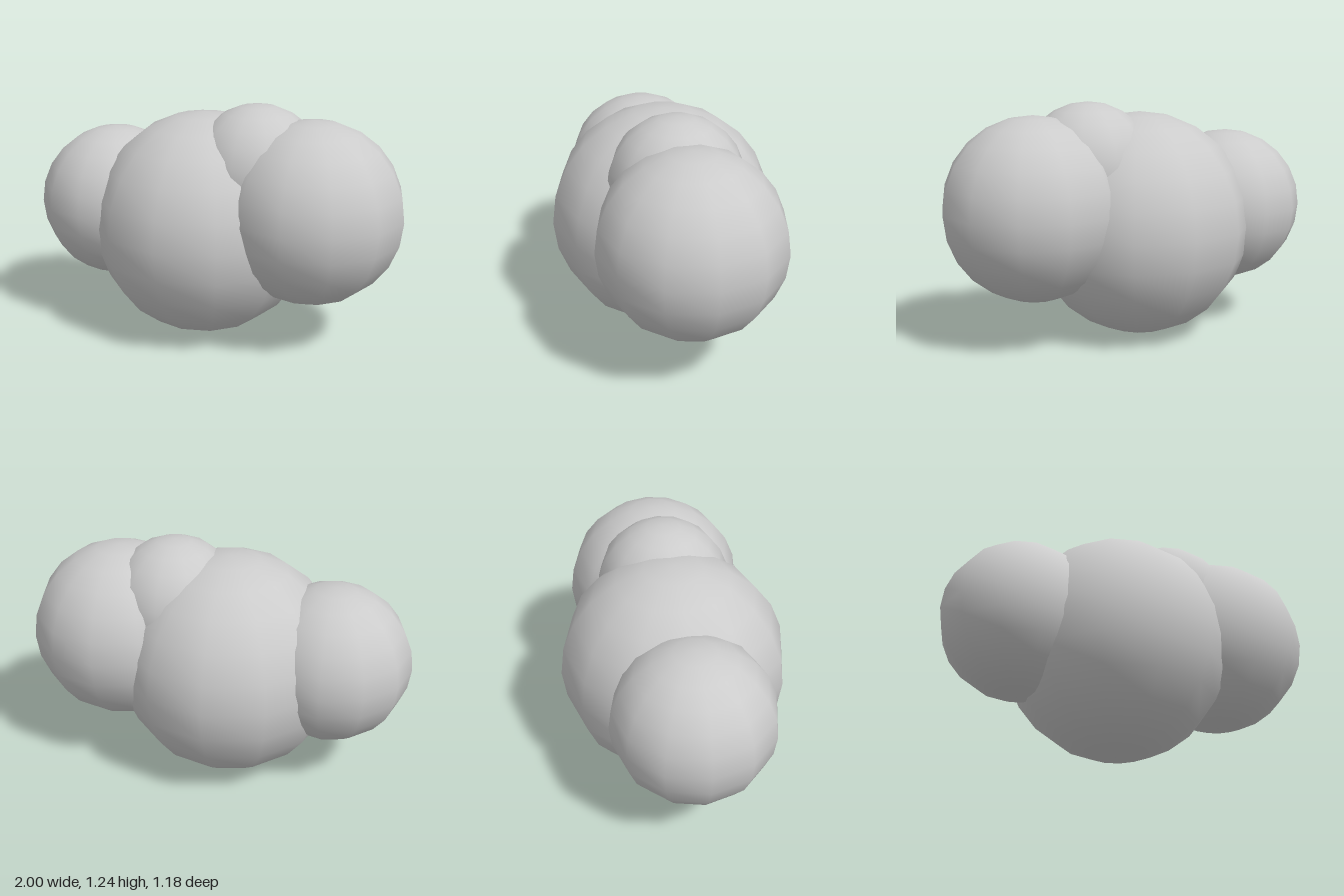
import * as THREE from 'three';

export function createModel() {
  const group = new THREE.Group();
  const material = new THREE.MeshStandardMaterial({ color: 0xcccccc });

  // A cloud of overlapping, smooth-shaded coarse spheres: name, radius, x, y
  const puffs = [
    ['mainPuff', 0.588, -0.06, 0.588],
    ['rightPuff', 0.41, -0.59, 0.65],
    ['leftPuff', 0.468, 0.532, 0.708],
    ['topPuff', 0.35, 0.235, 0.885],
  ];
  for (const [name, radius, x, y] of puffs) {
    const puff = new THREE.Mesh(new THREE.SphereGeometry(radius, 12, 12), material);
    puff.name = name;
    puff.position.set(x, y, 0);
    group.add(puff);
  }
  return group;
}
